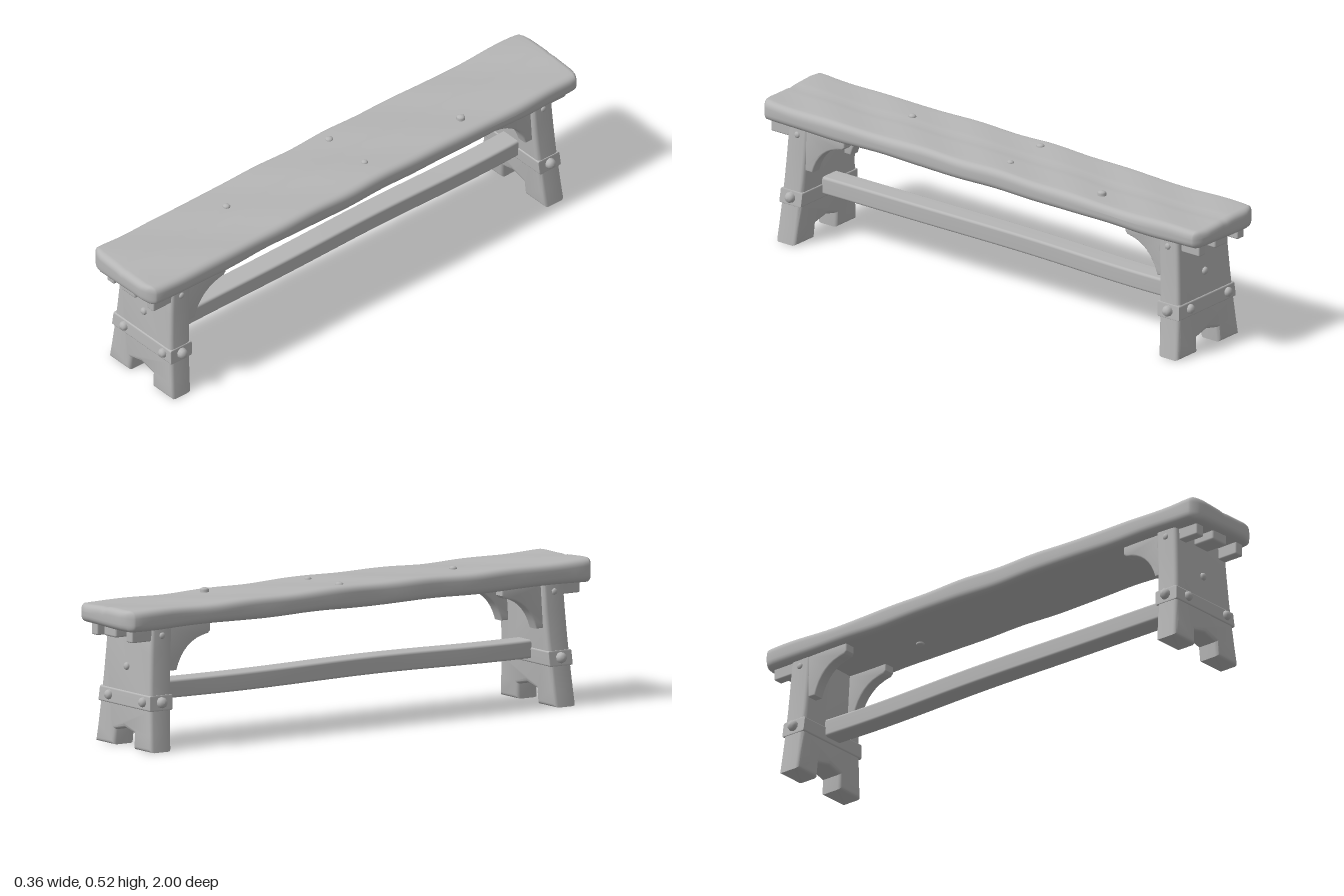
import * as THREE from 'three';
import { mergeVertices, toCreasedNormals } from 'three/addons/utils/BufferGeometryUtils.js';

const wood = new THREE.MeshStandardMaterial({ color: 0xb6b6b6 });
wood.name = 'greyWood';

function add(parent, name, geometry, x = 0, y = 0, z = 0) {
  const mesh = new THREE.Mesh(geometry, wood);
  mesh.name = name;
  mesh.position.set(x, y, z);
  parent.add(mesh);
  return mesh;
}

// Soft-edged box with inner subdivisions, so that it can be bent by a rule
function softBox(size, radius, segments, bend = () => {}) {
  const edge = 3;
  const counts = segments.map((n) => n + 2 * edge);
  let geo = new THREE.BoxGeometry(1, 1, 1, ...counts);
  geo.deleteAttribute('uv');
  geo.deleteAttribute('normal');
  geo = mergeVertices(geo);
  const pos = geo.attributes.position;
  const p = new THREE.Vector3();
  const core = new THREE.Vector3();
  for (let i = 0; i < pos.count; i++) {
    p.fromBufferAttribute(pos, i);
    for (let a = 0; a < 3; a++) {
      const k = Math.round((p.getComponent(a) + 0.5) * counts[a]);
      const half = size[a] / 2, inner = half - radius;
      let v;
      if (k < edge) v = -half + radius * k / edge;
      else if (k > counts[a] - edge) v = half - radius * (counts[a] - k) / edge;
      else v = -inner + 2 * inner * (k - edge) / segments[a];
      p.setComponent(a, v);
      core.setComponent(a, THREE.MathUtils.clamp(v, -inner, inner));
    }
    p.sub(core).setLength(radius).add(core);
    bend(p);
    pos.setXYZ(i, p.x, p.y, p.z);
  }
  geo.computeVertexNormals();
  return geo;
}

// Worn plank: uneven edges, a sagging top, rounded corners in plan and a centre seam
function bendSeat(p) {
  const { x, y, z } = p;
  const wave = Math.sin(z * 9 + 1) * 0.6 + Math.sin(z * 23) * 0.4;
  const end = Math.max(0, (Math.abs(z) - 0.955) / 0.045);
  p.x = x * (1 - 0.09 * end * end) + wave * 0.003 - z * 0.003;
  if (y > 0) {
    p.y += -x * 0.025 + z * 0.004 + 0.003 * Math.cos(z * 5) + 0.002 * Math.sin(z * 17 + x * 20);
    if (Math.abs(x) < 0.004) p.y -= 0.003;
  } else {
    p.y += 0.002 * Math.sin(z * 13 + x * 15);
  }
  p.z -= Math.sign(z) * Math.max(0, Math.abs(x) - 0.12) * 0.25 * end;
}

// Extrudes an outline with a bevel, centred on its thickness
function slab(points, thickness, bevel) {
  const shape = new THREE.Shape(points.map(([x, y]) => new THREE.Vector2(x, y)));
  const geo = new THREE.ExtrudeGeometry(shape, {
    depth: thickness - 2 * bevel, bevelEnabled: true, bevelSize: bevel,
    bevelThickness: bevel, bevelOffset: -bevel, bevelSegments: 3,
  });
  geo.translate(0, 0, bevel - thickness / 2);
  return geo;
}

const halfWidth = (y) => 0.174 - 0.035 * Math.min(1, y / 0.45) - 0.006 * Math.sin(Math.PI * Math.min(1, y / 0.45));
const legZ = (y) => 0.867 - 0.065 * y;

function makeLegGeometry() {
  const heights = [0.005, 0.07, 0.15, 0.25, 0.35, 0.46];
  const outline = [
    ...heights.map((y) => [halfWidth(y), y]),
    ...heights.slice().reverse().map((y) => [-halfWidth(y), y]),
    [-0.06, 0.005], [-0.057, 0.06], [0, 0.074], [0.06, 0.06], [0.063, 0.005],
  ];
  const geo = slab(outline, 0.09, 0.014);
  const pos = geo.attributes.position;
  for (let i = 0; i < pos.count; i++) pos.setZ(i, pos.getZ(i) + legZ(pos.getY(i)));
  return toCreasedNormals(geo, 0.7);
}

function makeBraceGeometry() {
  const curve = new THREE.QuadraticBezierCurve(
    new THREE.Vector2(0.64, 0.405), new THREE.Vector2(0.745, 0.39), new THREE.Vector2(0.775, 0.285));
  const points = [[0.83, 0.285], [0.83, 0.45], [0.63, 0.45], [0.63, 0.415],
    ...curve.getPoints(8).map((v) => [v.x, v.y])];
  const geo = slab(points, 0.045, 0.006);
  geo.rotateY(-Math.PI / 2);
  return toCreasedNormals(geo, 0.6);
}

// Blunt domed bolt, pointing along +z
function makeBolt(radius, length) {
  const profile = [[0, length], [0.55, length * 0.93], [0.85, length * 0.65], [1, length * 0.3], [1, -0.02]];
  const geo = new THREE.LatheGeometry(profile.map(([r, h]) => new THREE.Vector2(r * radius, h)).reverse(), 10);
  geo.rotateX(Math.PI / 2);
  return geo;
}

function makeEnd(name) {
  const end = new THREE.Group();
  end.name = name;
  add(end, 'leg', makeLegGeometry());

  // Band wrapped round the leg, following its taper
  const band = softBox([2, 0.055, 0.098], 0.006, [8, 2, 2], (p) => {
    p.x *= halfWidth(p.y + 0.178) + 0.003;
    p.z -= 0.065 * p.y;
  });
  add(end, 'legBand', band, 0, 0.178, legZ(0.178));

  // Bolts on the faces and edges of the leg
  for (const x of [-0.095, 0.115]) add(end, 'faceBolt', makeBolt(0.018, 0.02), x, 0.18, legZ(0.18) + 0.046);
  add(end, 'upperBolt', makeBolt(0.014, 0.013), 0, 0.293, legZ(0.293) + 0.044);
  for (const s of [-1, 1]) {
    const bolt = add(end, 'sideBolt', makeBolt(0.02, 0.024), s * 0.156, 0.18, legZ(0.18));
    bolt.rotation.y = s * Math.PI / 2;
    const peg = add(end, 'sidePeg', makeBolt(0.012, 0.01), s * 0.138, 0.415, legZ(0.415));
    peg.rotation.y = s * Math.PI / 2;
  }

  // Curved braces inside, with their tenon ends showing outside
  for (const x of [-0.1, 0.115]) {
    add(end, 'brace', makeBraceGeometry(), x, 0, 0);
    add(end, 'braceEnd', softBox([0.038, 0.055, 0.13], 0.006, [1, 1, 1]), x, 0.425, 0.9);
  }
  add(end, 'centreTenon', softBox([0.075, 0.05, 0.13], 0.008, [1, 1, 1]), 0.002, 0.43, 0.905);
  return end;
}

export function createModel() {
  const bench = new THREE.Group();
  bench.name = 'bench';

  add(bench, 'seat', softBox([0.338, 0.076, 2], 0.026, [12, 2, 60], bendSeat), -0.001, 0.478, 0);

  // Long rail joining the legs
  const rail = softBox([0.085, 0.066, 1.66], 0.01, [2, 2, 30], (p) => {
    p.x += 0.003 * Math.sin(p.z * 7);
    p.y += 0.003 * Math.sin(p.z * 5 + 1);
  });
  add(bench, 'rail', rail, 0, 0.202, 0);

  // Matching ends
  bench.add(makeEnd('frontEnd'));
  const back = makeEnd('backEnd');
  back.rotation.y = Math.PI;
  bench.add(back);

  // Small knots standing proud of the seat
  for (const [x, z, r] of [[-0.048, 0.47, 0.014], [0.07, -0.07, 0.013], [-0.11, -0.06, 0.015], [0.09, -0.5, 0.016]]) {
    const knot = add(bench, 'seatKnot', makeBolt(r, 0.011), x, 0.516 - x * 0.025, z);
    knot.rotation.x = -Math.PI / 2;
  }
  const underKnot = add(bench, 'underKnot', makeBolt(0.015, 0.008), 0.03, 0.441, -0.43);
  underKnot.rotation.x = Math.PI / 2;
  return bench;
}
